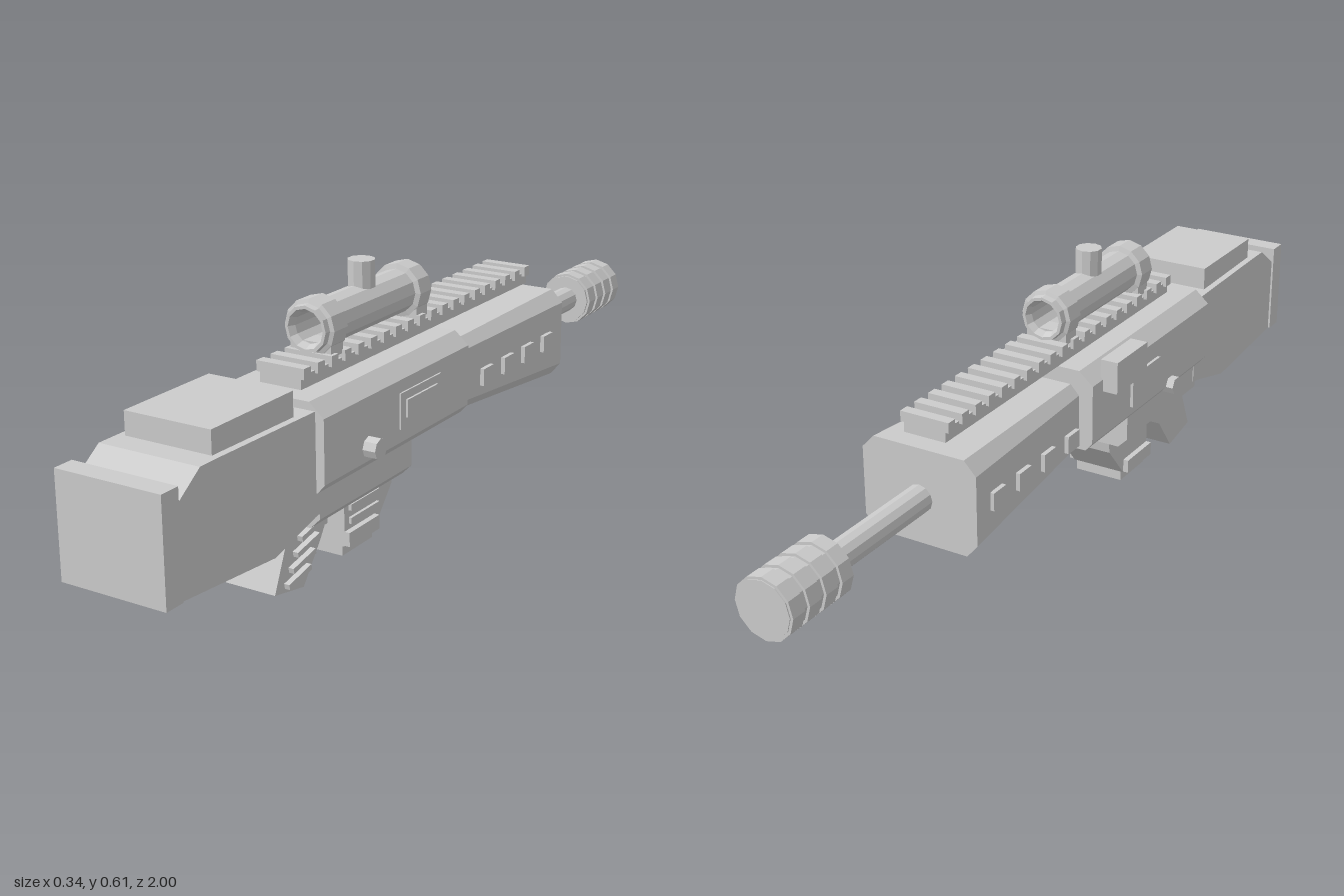
import * as THREE from 'three';

export function createModel() {
  const root = new THREE.Group();
  const body = new THREE.Group();
  body.name = 'rifle';
  body.position.x = 0.002;
  root.add(body);
  const mat = new THREE.MeshStandardMaterial({ color: 0xcccccc, flatShading: true });

  const add = (name, geo, x = 0, y = 0, z = 0) => {
    const m = new THREE.Mesh(geo, mat);
    m.name = name;
    m.position.set(x, y, z);
    body.add(m);
    return m;
  };
  // box given by its limits on each axis
  const box = (name, x0, x1, y0, y1, z0, z1) =>
    add(name, new THREE.BoxGeometry(x1 - x0, y1 - y0, z1 - z0), (x0 + x1) / 2, (y0 + y1) / 2, (z0 + z1) / 2);
  const shapeOf = pts => new THREE.Shape(pts.map(p => new THREE.Vector2(p[0], p[1])));
  // side profile of [z, y] points, extruded across x
  const side = (name, pts, half) => {
    const g = new THREE.ExtrudeGeometry(shapeOf(pts), { depth: half * 2, bevelEnabled: false });
    g.translate(0, 0, -half).rotateY(-Math.PI / 2);
    return add(name, g);
  };
  // symmetric cross-section from [x, y] points of the +x half (bottom to top), extruded along z
  const section = (half, z0, z1) => {
    const pts = [...half, ...half.map(p => [-p[0], p[1]]).reverse()];
    const g = new THREE.ExtrudeGeometry(shapeOf(pts), { depth: z1 - z0, bevelEnabled: false });
    return g.translate(0, 0, z0);
  };
  const rod = (name, r, z0, z1, y, n = 12) =>
    add(name, new THREE.CylinderGeometry(r, r, z1 - z0, n).rotateX(Math.PI / 2), 0, y, (z0 + z1) / 2);

  // Stock, butt pad and cheek rest
  side('stock', [[0.96, 0.17], [0.96, 0.355], [0.955, 0.355], [0.885, 0.405], [0.82, 0.405],
    [0.5, 0.4], [0.5, 0.185], [0.53, 0.18], [0.665, 0.145]], 0.117);
  box('buttPad', -0.122, 0.122, 0.17, 0.393, 0.953, 1);
  box('cheekRest', -0.101, 0.101, 0.385, 0.455, 0.575, 0.83);

  // Receiver and lower housing
  add('receiver', section([[0.12, 0.23], [0.137, 0.25], [0.137, 0.388], [0.103, 0.418]], -0.045, 0.525));
  add('lowerHousing', section([[0.092, 0.145], [0.115, 0.168], [0.115, 0.24]], 0.16, 0.512));

  // Handguard: widens toward the muzzle
  const guard = section([[0.112, 0.19], [0.137, 0.22], [0.137, 0.375], [0.109, 0.405]], -0.51, -0.05);
  const p = guard.attributes.position;
  for (let i = 0; i < p.count; i++) {
    if (p.getZ(i) > -0.3) {
      p.setX(i, p.getX(i) * 0.77);
      p.setY(i, 0.22 + (p.getY(i) - 0.19) * 0.767);
    }
  }
  guard.computeVertexNormals();
  add('handguard', guard);
  box('handguardJoint', -0.09, 0.09, 0.24, 0.37, -0.06, -0.04);
  for (const s of [-1, 1])
    for (let i = 0; i < 4; i++)
      add('ventPlate', new THREE.BoxGeometry(0.01, 0.04, 0.046), s * 0.137, 0.295, -0.134 - i * 0.099);

  // Barrel and ringed muzzle brake
  rod('barrel', 0.031, -0.83, -0.5, 0.292);
  rod('muzzleBrake', 0.061, -1, -0.815, 0.292);
  for (let i = 0; i < 4; i++) {
    const z = -0.998 + i * 0.048;
    rod('muzzleRing', 0.067, z, z + 0.034, 0.292);
  }

  // Top rail with teeth
  box('railBase', -0.05, 0.05, 0.418, 0.446, -0.485, 0.475);
  for (let i = 0; i < 20; i++) {
    const z = -0.473 + i * 0.0493;
    box('railTooth', -0.058, 0.058, 0.44, 0.463, z - 0.012, z + 0.012);
  }

  // Scope: open tube with two clamp rings, mounts and turret
  const profile = [[0.035, -0.015], [0.043, -0.03], [0.05, -0.03], [0.052, -0.015], [0.061, -0.012], [0.061, 0.033],
    [0.049, 0.036], [0.049, 0.318], [0.061, 0.321], [0.061, 0.37], [0.052, 0.373], [0.05, 0.386],
    [0.043, 0.386], [0.035, 0.37], [0.035, -0.015]].map(q => new THREE.Vector2(q[0], q[1]));
  add('scopeTube', new THREE.LatheGeometry(profile, 12).rotateX(Math.PI / 2), 0, 0.513, 0);
  for (const z of [0.01, 0.345]) box('scopeMount', -0.05, 0.05, 0.455, 0.483, z - 0.022, z + 0.022);
  add('scopeTurret', new THREE.CylinderGeometry(0.03, 0.03, 0.06, 10), 0, 0.585, 0.175);

  // Left side: bolt handle and port cover
  add('boltHandle', new THREE.CylinderGeometry(0.023, 0.023, 0.05, 8).rotateZ(Math.PI / 2), 0.142, 0.281, 0.365);
  box('portCover', 0.13, 0.141, 0.28, 0.36, 0.08, 0.245);
  box('portPanel', 0.13, 0.146, 0.302, 0.342, 0.1, 0.225);

  // Right side: sight box, panel and button
  box('sideBox', -0.173, -0.131, 0.36, 0.435, 0, 0.138);
  box('sidePanel', -0.144, -0.13, 0.27, 0.347, 0.13, 0.262);
  add('sideButton', new THREE.CylinderGeometry(0.021, 0.021, 0.03, 6).rotateZ(Math.PI / 2), -0.14, 0.25, 0.33);

  // Grip with ribs
  side('grip', [[0.525, 0.185], [0.595, 0.022], [0.495, 0.002], [0.432, 0.085], [0.385, 0.16], [0.4, 0.185]], 0.061);
  for (let i = 0; i < 4; i++) {
    const rib = add('gripRib', new THREE.BoxGeometry(0.014, 0.012, 0.08), 0.067, 0.125 - i * 0.029, 0.475 + i * 0.016);
    rib.rotation.x = 0.2;
  }

  // Trigger and guard
  box('triggerGuard', -0.025, 0.025, 0.083, 0.103, 0.345, 0.44);
  box('trigger', -0.012, 0.012, 0.095, 0.15, 0.37, 0.385);

  // Magazine with flared lip, base plate and ribs
  side('magazine', [[0.352, 0.15], [0.352, 0.038], [0.235, 0.038], [0.165, 0.12], [0.16, 0.15]], 0.067);
  box('magazineLip', -0.08, 0.08, 0.04, 0.072, 0.235, 0.352);
  box('magazineBase', -0.06, 0.06, 0.015, 0.042, 0.235, 0.35);
  for (const y of [0.092, 0.122]) box('magazineRib', 0.06, 0.074, y - 0.007, y + 0.007, 0.225, 0.335);

  return root;
}
